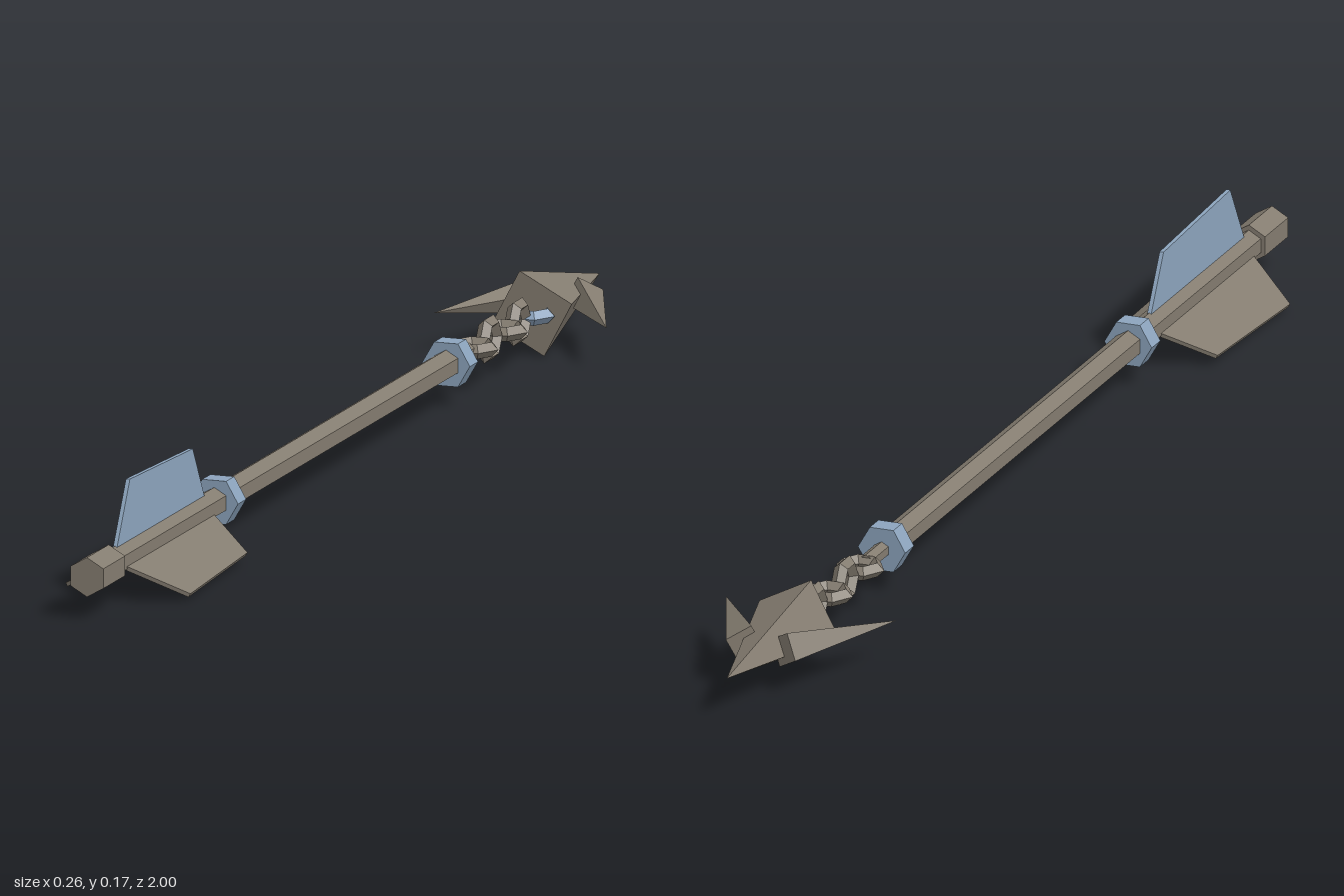
import * as THREE from 'three';

const AXIS_Y = 0.0605;

export function createModel() {
  const wood = new THREE.MeshStandardMaterial({ color: 0x847c70, flatShading: true });
  wood.name = 'greyBrown';
  const steel = new THREE.MeshStandardMaterial({ color: 0x8ca4bd, flatShading: true });
  steel.name = 'blueSteel';

  const arrow = new THREE.Group();
  arrow.name = 'arrow';
  arrow.position.y = AXIS_Y;

  const add = (name, geometry, material) => {
    const mesh = new THREE.Mesh(geometry, material);
    mesh.name = name;
    arrow.add(mesh);
    return mesh;
  };

  // Hexagonal prism along z; turn = 0 puts a corner on top
  const hexBar = (name, r, z0, z1, material, turn = 0) => {
    const g = new THREE.CylinderGeometry(r, r, z1 - z0, 6);
    g.rotateX(Math.PI / 2).rotateZ(turn).translate(0, 0, (z0 + z1) / 2);
    return add(name, g, material);
  };

  // Shaft, nock and collars
  hexBar('shaft', 0.021, -0.42, 0.93, wood);
  hexBar('nock', 0.0285, 0.915, 1, wood);
  hexBar('rearCollar', 0.036, 0.472, 0.504, steel, Math.PI / 6);
  hexBar('frontCollar', 0.036, -0.432, -0.4, steel, Math.PI / 6);
  hexBar('chainPin', 0.012, -0.49, -0.42, wood);

  // Three fins around the shaft, the top one in steel
  const finShape = new THREE.Shape([
    [0.54, 0.01], [0.9, 0.01], [0.89, 0.02], [0.84, 0.107], [0.595, 0.097], [0.55, 0.02],
  ].map(([z, r]) => new THREE.Vector2(-z, r)));
  ['topFin', 'rightFin', 'leftFin'].forEach((name, i) => {
    const g = new THREE.ExtrudeGeometry(finShape, { depth: 0.006, bevelEnabled: false });
    g.translate(0, 0, -0.003).rotateY(Math.PI / 2).rotateZ(i * Math.PI * 2 / 3);
    add(name, g, i === 0 ? steel : wood);
  });

  // Chain of hexagonal links, turned a quarter each time
  [-0.51, -0.567, -0.625, -0.68, -0.73].forEach((z, i) => {
    const g = new THREE.TorusGeometry(0.026, 0.0105, 4, 6);
    if (i % 2 === 0) g.rotateX(Math.PI / 2);
    else g.rotateY(Math.PI / 2);
    g.translate(0, 0, z);
    add(i === 4 ? 'headLink' : 'chainLink', g, i === 4 ? steel : wood);
  });

  // Four-sided head, twisted a little about the shaft
  const twist = 0.3;
  const head = new THREE.ConeGeometry(0.063, 0.265, 4);
  head.rotateX(-Math.PI / 2).rotateZ(twist).translate(0, 0, -0.8675);
  add('head', head, wood);

  // Swept-back barbs on both sides
  for (const s of [1, -1]) {
    const g = new THREE.ConeGeometry(0.029, 0.2, 4);
    g.rotateX(Math.PI / 2).translate(0, 0, 0.1).rotateZ(twist);
    g.rotateY(s * 0.53).translate(s * 0.029, 0, -0.862);
    add(s > 0 ? 'leftBarb' : 'rightBarb', g, wood);
  }

  const model = new THREE.Group();
  model.name = 'model';
  model.add(arrow);
  return model;
}
